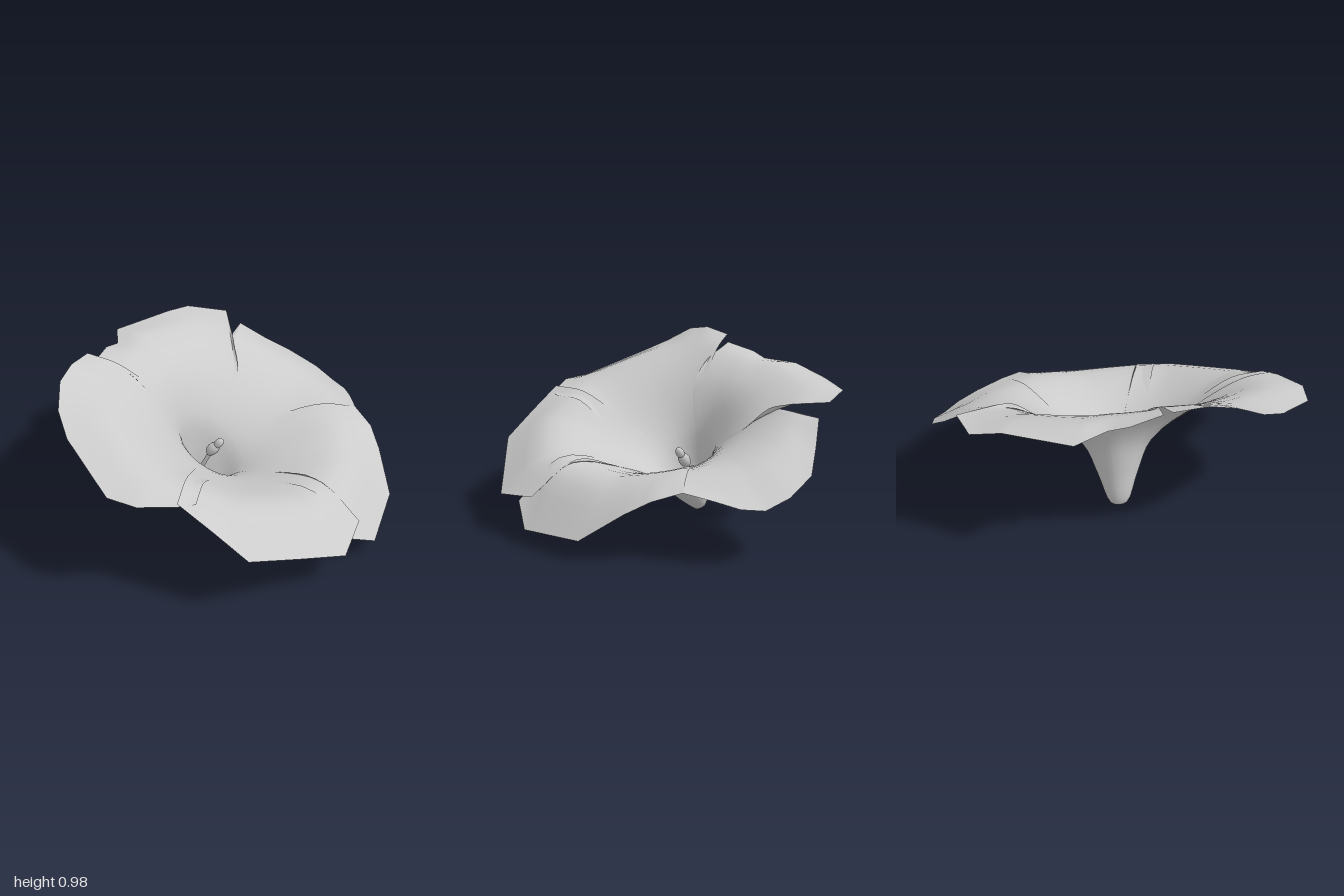
import * as THREE from 'three';

const material = new THREE.MeshStandardMaterial({ color: 0xcccccc, side: THREE.DoubleSide });

// Each petal: outer edge as [x, y, z] running round the flower,
// how strongly its crest rolls up at the start and end of that edge, and a small lift for the overlaps
const petals = {
  backPetal: { roll: [0.45, 0.5], lift: -0.004, edge: [[-0.29, 0.66, -0.7], [-0.29, 0.65, -0.84], [-0.16, 0.53, -0.92],
    [-0.02, 0.42, -1], [0.15, 0.34, -1], [0.28, 0.29, -0.95], [0.37, 0.3, -0.87], [0.43, 0.33, -0.76], [0.5, 0.36, -0.61]] },
  leftPetal: { roll: [0.5, 1], lift: 0, edge: [[0.5, 0.36, -0.61], [0.62, 0.32, -0.51], [0.7, 0.25, -0.4],
    [0.82, 0.1, -0.2], [0.825, 0.09, 0], [0.83, 0.08, 0.2], [0.74, 0.19, 0.35]] },
  frontLeftPetal: { roll: [0.9, 0.92], lift: 0.004, edge: [[0.67, 0.27, 0.24], [0.745, 0.23, 0.24], [0.74, 0.2, 0.5],
    [0.55, 0.29, 0.7], [0.35, 0.39, 0.91], [0.17, 0.52, 0.905], [-0.02, 0.65, 0.9]] },
  frontRightPetal: { roll: [0.92, 0.92], lift: 0, edge: [[0.05, 0.61, 0.83], [-0.02, 0.63, 0.9], [-0.19, 0.66, 1],
    [-0.35, 0.67, 0.99], [-0.65, 0.81, 0.78], [-0.75, 0.88, 0.66], [-0.8, 0.96, 0.52], [-0.8, 0.98, 0.38], [-0.79, 0.95, 0.21]] },
  backRightPetal: { roll: [0.6, 0.45], lift: 0.004, edge: [[-0.68, 0.88, 0.17], [-0.75, 0.91, 0.17], [-0.78, 0.87, 0],
    [-0.76, 0.84, -0.1], [-0.84, 0.82, -0.27], [-0.66, 0.79, -0.61], [-0.6, 0.75, -0.77], [-0.38, 0.72, -0.84], [-0.28, 0.7, -0.65]] },
};

// Tilted rings of the funnel: centre x, centre y, x radius, z radius, slope along x
const rings = [
  [-0.3, 0.028, 0.037, 0.047, -0.4],
  [-0.235, 0.18, 0.105, 0.11, -0.75],
  [-0.175, 0.35, 0.175, 0.19, -0.74],
  [-0.105, 0.515, 0.355, 0.45, -0.55],
];

function ringPoint([cx, cy, rx, rz, slope], angle, lift) {
  const dx = rx * Math.cos(angle);
  return new THREE.Vector3(cx + dx, cy + slope * dx + lift, rz * Math.sin(angle));
}

// Petal surface: one smooth profile from the base to each point of the outer edge
function petalGeometry({ edge, roll, lift }) {
  const split = 3, steps = 24, row = steps + 1;
  const columns = (edge.length - 1) * split;
  const positions = [], index = [];
  for (let i = 0; i <= columns; i++) {
    const u = i / columns;
    const k = Math.min(Math.floor(i / split), edge.length - 2);
    const rim = new THREE.Vector3(...edge[k]).lerp(new THREE.Vector3(...edge[k + 1]), i / split - k);
    const overlap = 0.08 * (2 * u - 1);
    const angle = Math.atan2(rim.z, rim.x + 0.1) + overlap;
    const funnel = rings.map((ring, n) => ringPoint(ring, angle, lift * n / 3));
    // Rolled crest between the funnel and the drooping edge
    const crest = funnel[3].clone().lerp(rim, 0.55);
    const rollHere = THREE.MathUtils.lerp(roll[0], roll[1], Math.sqrt(u));
    crest.y = THREE.MathUtils.lerp(crest.y, 0.612 - 0.43 * crest.x + lift, rollHere);
    const profile = new THREE.CatmullRomCurve3([new THREE.Vector3(-0.285, 0, 0), ...funnel, crest, rim]);
    for (let j = 0; j <= steps; j++) {
      const p = profile.getPoint(j / steps);
      positions.push(p.x, p.y, p.z);
      if (i < columns && j < steps) {
        const a = i * row + j, b = a + row;
        index.push(a, b, a + 1, b, b + 1, a + 1);
      }
    }
  }
  const geometry = new THREE.BufferGeometry();
  geometry.setAttribute('position', new THREE.Float32BufferAttribute(positions, 3));
  geometry.setIndex(index);
  geometry.computeVertexNormals();
  return geometry;
}

export function createModel() {
  const flower = new THREE.Group();
  flower.name = 'flower';
  const add = (name, geometry) => {
    const mesh = new THREE.Mesh(geometry, material);
    mesh.name = name;
    flower.add(mesh);
    return mesh;
  };

  Object.entries(petals).forEach(([name, petal]) => add(name, petalGeometry(petal)));

  // Pistil standing in the throat, with a lumpy club-shaped end
  const stalk = new THREE.CatmullRomCurve3([
    new THREE.Vector3(-0.28, 0.04, 0),
    new THREE.Vector3(-0.24, 0.17, 0),
    new THREE.Vector3(-0.17, 0.315, -0.005),
  ]);
  add('pistilStalk', new THREE.TubeGeometry(stalk, 12, 0.012, 8));
  [[-0.17, 0.315, 0.033], [-0.135, 0.36, 0.024]].forEach(([x, y, r], i) => {
    const tip = add('pistilTip' + (i + 1), new THREE.SphereGeometry(r, 12, 8));
    tip.scale.y = 1.6;
    tip.rotation.z = -0.65;
    tip.position.set(x, y, -0.008);
  });
  return flower;
}
